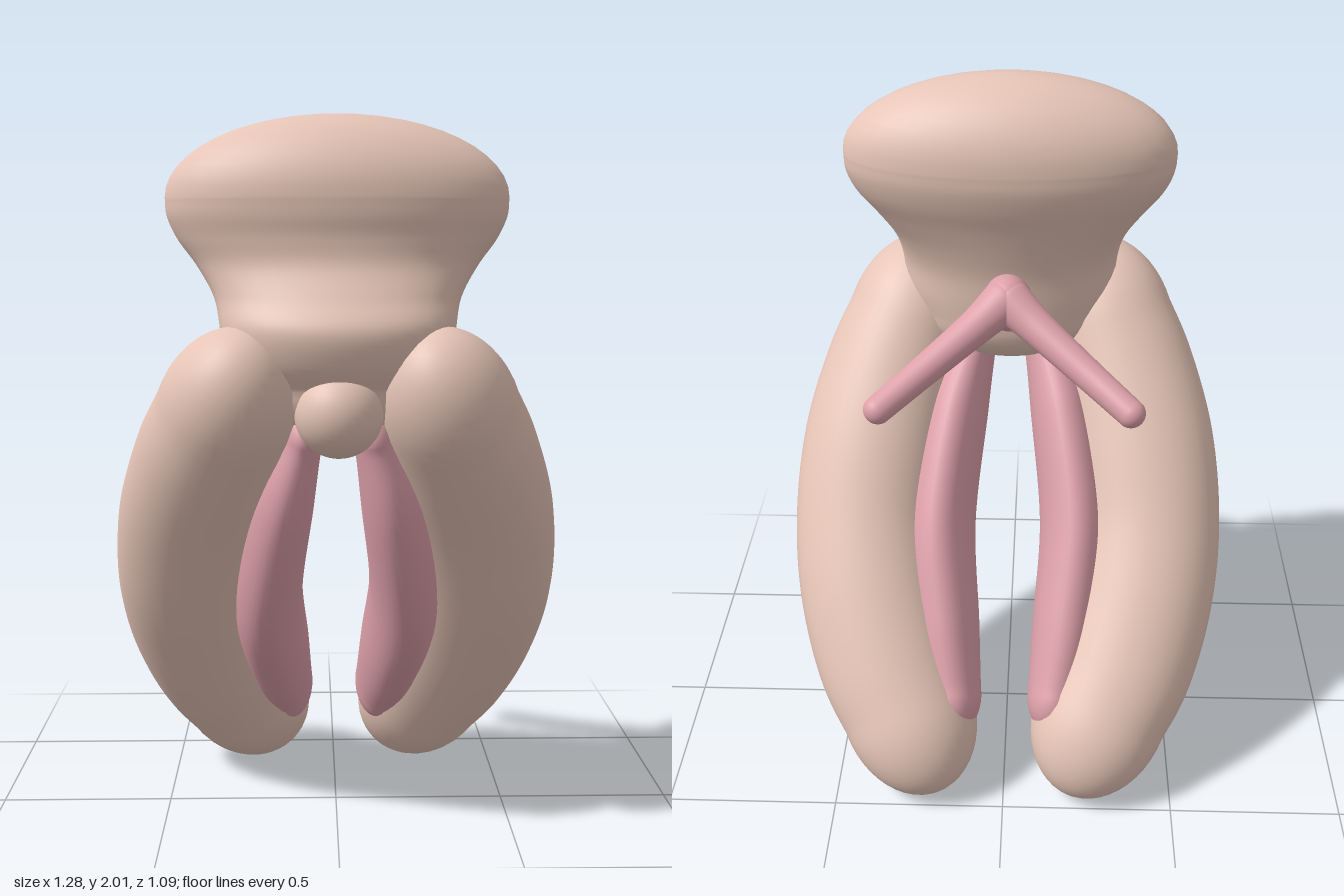
import * as THREE from 'three';
import { mergeVertices } from 'three/addons/utils/BufferGeometryUtils.js';

const tan = new THREE.MeshStandardMaterial({ name: 'tan', color: 0xe6c5b7 });
const pink = new THREE.MeshStandardMaterial({ name: 'pink', color: 0xdda0a9 });

// Sweeps an ellipse through stations [x, y, z, halfSide, halfDepth], closing both ends with rounded caps.
function sweep(stations, capStart, capEnd, axis) {
  const path = new THREE.CatmullRomCurve3(stations.map(s => new THREE.Vector3(s[0], s[1], s[2])), false, 'catmullrom');
  const size = new THREE.CatmullRomCurve3(stations.map(s => new THREE.Vector3(s[3], s[4], 0)), false, 'catmullrom');
  const sides = 40, steps = 48, capSteps = 12;
  const positions = [], index = [];
  let rings = 0;

  const ring = (t, angle, cap) => {
    const d = axis ? axis.clone() : path.getTangent(t);
    const u = new THREE.Vector3(1, 0, 0).addScaledVector(d, -d.x).normalize();
    const v = d.clone().cross(u);
    const c = path.getPoint(t).addScaledVector(d, Math.sin(angle) * cap);
    const s = size.getPoint(t).multiplyScalar(Math.cos(angle));
    for (let j = 0; j < sides; j++) {
      const a = j / sides * Math.PI * 2;
      const p = c.clone().addScaledVector(u, s.x * Math.cos(a)).addScaledVector(v, s.y * Math.sin(a));
      positions.push(p.x, p.y, p.z);
    }
    rings++;
  };

  for (let i = capSteps; i > 0; i--) ring(0, -i / capSteps * Math.PI / 2, capStart);
  for (let i = 0; i <= steps; i++) ring(i / steps, 0, 0);
  for (let i = 1; i <= capSteps; i++) ring(1, i / capSteps * Math.PI / 2, capEnd);

  for (let i = 0; i < rings - 1; i++) {
    for (let j = 0; j < sides; j++) {
      const k = (j + 1) % sides;
      const a = i * sides + j, b = i * sides + k;
      index.push(a, b, a + sides, b, b + sides, a + sides);
    }
  }
  const geometry = new THREE.BufferGeometry();
  geometry.setAttribute('position', new THREE.Float32BufferAttribute(positions, 3));
  geometry.setIndex(index);
  const merged = mergeVertices(geometry, 1e-5);
  merged.computeVertexNormals();
  return merged;
}

export function createModel() {
  const model = new THREE.Group();
  model.name = 'anatomicalModel';
  const add = (name, geometry, material) => {
    const mesh = new THREE.Mesh(geometry, material);
    mesh.name = name;
    model.add(mesh);
    return mesh;
  };

  // Upper mound: wide oval top narrowing into a rounded base
  add('mound', sweep([
    [0, 1.28, 0.278, 0.275, 0.175],
    [0, 1.35, 0.298, 0.307, 0.2],
    [0, 1.44, 0.302, 0.315, 0.212],
    [0, 1.52, 0.267, 0.332, 0.196],
    [0, 1.60, 0.232, 0.378, 0.186],
    [0, 1.67, 0.215, 0.430, 0.196],
    [0, 1.73, 0.211, 0.458, 0.208],
    [0, 1.78, 0.211, 0.463, 0.211],
  ], 0.15, 0.22, new THREE.Vector3(0, 1, 0)), tan);

  // Small hood under the mound
  const hood = add('hood', new THREE.SphereGeometry(0.118, 32, 24), tan);
  hood.position.set(0, 1.22, 0.40);

  // Stem of the forked body behind the mound
  add('forkStem', sweep([
    [0, 1.32, 0.17, 0.07, 0.075],
    [0, 1.39, 0.07, 0.07, 0.07],
    [0, 1.44, -0.015, 0.065, 0.067],
  ], 0.05, 0.075), pink);

  for (const side of [1, -1]) {
    const label = side > 0 ? 'left' : 'right';
    const mirror = list => list.map(([x, ...rest]) => [x * side, ...rest]);

    // Thick bowed outer fold
    add(label + 'OuterFold', sweep(mirror([
      [0.302, 1.21, 0.33, 0.188, 0.194],
      [0.352, 1.08, 0.245, 0.204, 0.196],
      [0.400, 0.90, 0.125, 0.216, 0.196],
      [0.422, 0.70, 0.00, 0.216, 0.195],
      [0.402, 0.52, -0.125, 0.218, 0.193],
      [0.350, 0.35, -0.245, 0.214, 0.188],
      [0.288, 0.225, -0.335, 0.198, 0.181],
    ]), 0.26, 0.26), tan);

    // Inner fold nested against the outer one
    add(label + 'InnerFold', sweep(mirror([
      [0.098, 1.17, 0.31, 0.06, 0.12],
      [0.158, 0.97, 0.21, 0.095, 0.195],
      [0.203, 0.675, 0.02, 0.105, 0.217],
      [0.178, 0.43, -0.175, 0.098, 0.177],
      [0.150, 0.275, -0.305, 0.080, 0.13],
    ]), 0.08, 0.12), pink);

    // Slim arm of the fork
    add(label + 'ForkArm', sweep(mirror([
      [0.01, 1.44, -0.035, 0.062, 0.062],
      [0.085, 1.39, -0.093, 0.05, 0.05],
      [0.21, 1.315, -0.19, 0.043, 0.043],
      [0.337, 1.245, -0.298, 0.039, 0.039],
    ]), 0.05, 0.038), pink);
  }
  return model;
}
